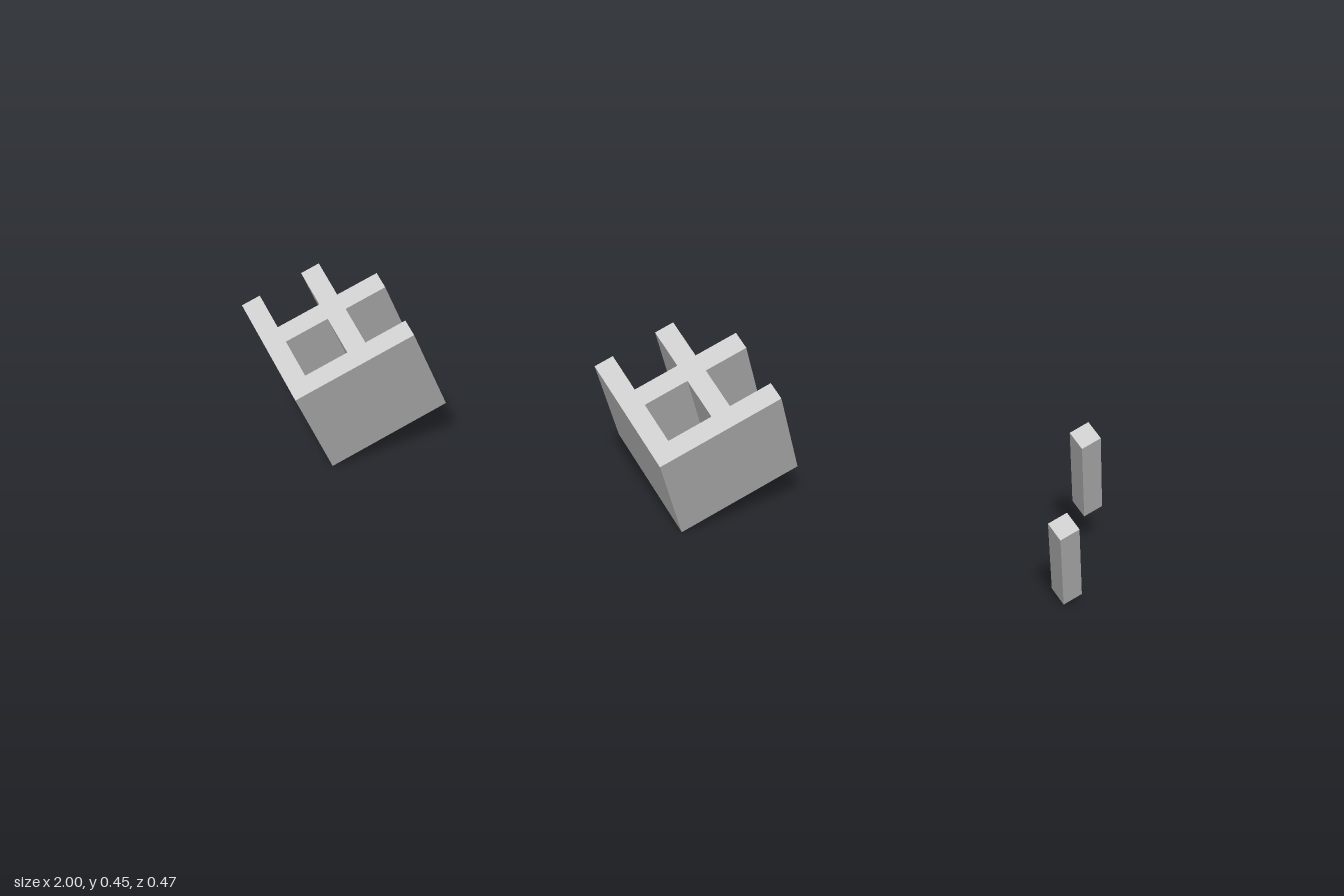
import * as THREE from 'three';

const T = 0.047;       // wall thickness
const S = 0.156;       // start of the second wall
const E = S + T;       // end of the second wall
const L = 0.307;       // wall length
const DEPTH = 0.315;   // extrusion length

const points = (list) => list.map(([x, y]) => new THREE.Vector2(x, y));
const square = (a, b) => points([[a, a], [b, a], [b, b], [a, b]]);

export function createModel() {
  const model = new THREE.Group();
  const material = new THREE.MeshStandardMaterial({ color: 0xcccccc, flatShading: true });

  // Extrudes a section, turns it onto its corner and leans it forward
  function addPart(name, shape, x) {
    const geometry = new THREE.ExtrudeGeometry(shape, { depth: DEPTH, bevelEnabled: false });
    const mesh = new THREE.Mesh(geometry, material);
    mesh.name = name;
    mesh.rotation.set(-Math.PI / 3, 0, Math.PI / 4);
    mesh.position.set(x, 0, 0.078);
    model.add(mesh);
  }

  // Two pairs of crossing walls around one closed cell
  const lattice = new THREE.Shape(points([
    [0, 0], [L, 0], [L, T], [E, T], [E, S], [L, S], [L, E],
    [E, E], [E, L], [S, L], [S, E], [T, E], [T, L], [0, L],
  ]));
  lattice.holes.push(new THREE.Path(square(T, S).reverse()));
  addPart('rightLattice', lattice, -0.783);
  addPart('middleLattice', lattice, 0.088);

  // Separate square bars, at the front corner and the inner crossing
  addPart('frontBar', new THREE.Shape(square(0, T)), 0.966);
  addPart('rearBar', new THREE.Shape(square(S, E)), 0.966);

  return model;
}
